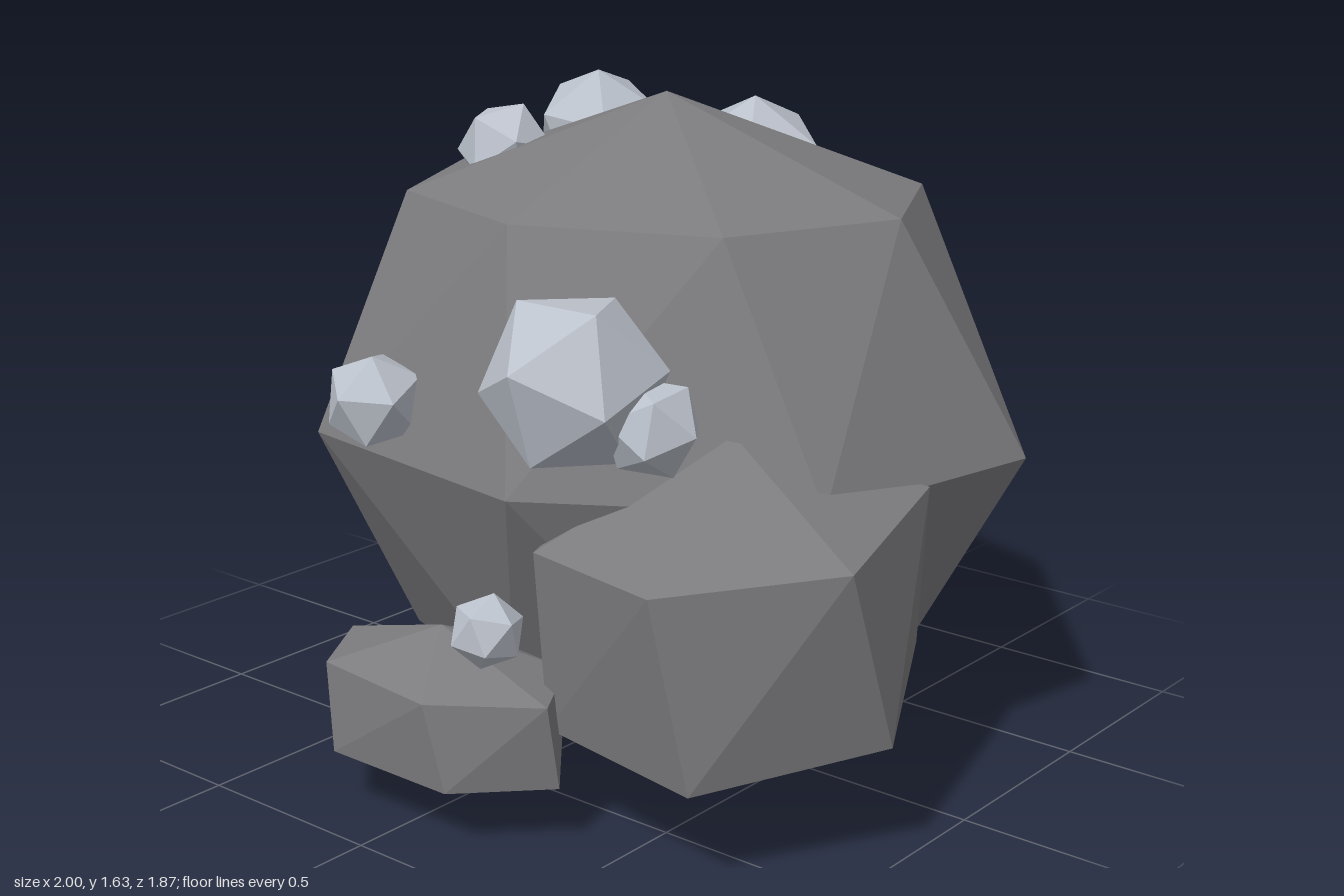
import * as THREE from 'three';
import { ConvexGeometry } from 'three/addons/geometries/ConvexGeometry.js';

const V = (x, y, z) => new THREE.Vector3(x, y, z);

// Points on a horizontal ellipse; the first one sits at startDeg
function ring(cx, y, cz, rx, rz, count, startDeg) {
  const points = [];
  for (let i = 0; i < count; i++) {
    const a = THREE.MathUtils.degToRad(startDeg + (i * 360) / count);
    points.push(V(cx + rx * Math.cos(a), y, cz + rz * Math.sin(a)));
  }
  return points;
}

// Tilted six-sided ring: three corners plus the same three mirrored through the centre
function tiltedRing(center, corners) {
  const c = V(...center);
  return corners.flatMap((p) => {
    const v = V(...p);
    return [v, c.clone().multiplyScalar(2).sub(v)];
  });
}

export function createModel() {
  const group = new THREE.Group();
  const stone = new THREE.MeshStandardMaterial({ color: 0x7c7b7e });
  stone.name = 'dark stone';
  const ore = new THREE.MeshStandardMaterial({ color: 0xbcc2cc });
  ore.name = 'pale ore';

  const add = (name, geometry, material) => {
    const mesh = new THREE.Mesh(geometry, material);
    mesh.name = name;
    group.add(mesh);
    return mesh;
  };

  // Large eight-sided main rock
  add('mainRock', new ConvexGeometry([
    V(0, 1.62, -0.11),
    ...ring(0, 1.38, -0.11, 0.685, 0.61, 8, -2),
    ...ring(0, 0.81, -0.11, 0.97, 0.86, 8, -13),
    ...ring(0, 0.24, -0.11, 0.685, 0.61, 8, -2),
    V(0, 0, -0.11),
  ]), stone);

  // Low boulder at the front
  add('frontBoulder', new ConvexGeometry([
    V(0, 0.46, 0.72),
    ...ring(0.01, 0.36, 0.72, 0.36, 0.215, 6, 10),
    ...ring(0, 0.15, 0.72, 0.365, 0.215, 6, 0),
    V(0, 0.04, 0.72),
  ]), stone);

  // Tall tilted boulder at the front left
  add('leftBoulder', new ConvexGeometry([
    V(0.6, 0.97, 0.4),
    ...tiltedRing([0.578, 0.75, 0.36], [[0.68, 0.705, 0.79], [0.985, 0.74, 0.47], [0.89, 0.81, 0.03]]),
    ...tiltedRing([0.533, 0.31, 0.28], [[0.75, 0.25, 0.735], [1.0, 0.295, 0.32], [0.78, 0.36, -0.11]]),
    V(0.51, 0.09, 0.245),
  ]), stone);

  // Tilted boulder at the back right
  add('rightBoulder', new ConvexGeometry([
    V(-0.7, 0.72, -0.47),
    ...tiltedRing([-0.64, 0.56, -0.47], [[-0.77, 0.53, -0.82], [-1.0, 0.52, -0.55], [-0.945, 0.55, -0.225]]),
    ...tiltedRing([-0.53, 0.26, -0.46], [[-0.41, 0.32, -0.845], [-0.8, 0.21, -0.76], [-0.91, 0.175, -0.37]]),
    V(-0.46, 0.12, -0.46),
  ]), stone);

  // Ore nuggets: x, y, z, radius
  const nuggets = [
    [0.32, 1.08, 0.61, 0.22],
    [-0.265, 0.945, 0.66, 0.125],
    [0.2, 0.51, 0.775, 0.09],
    [0.49, 0.99, 0.54, 0.12],
    [-0.17, 1.34, -0.7, 0.205],
    [-0.57, 1.23, -0.56, 0.175],
    [-0.375, 1.465, -0.29, 0.175],
    [-0.385, 1.46, 0.065, 0.125],
  ];
  nuggets.forEach(([x, y, z, r], i) => {
    const nugget = add('oreNugget' + (i + 1), new THREE.IcosahedronGeometry(r, 0), ore);
    nugget.position.set(x, y, z);
    nugget.rotation.set(0.3 + i * 1.1, i * 0.7, i * 0.5);
  });

  return group;
}
